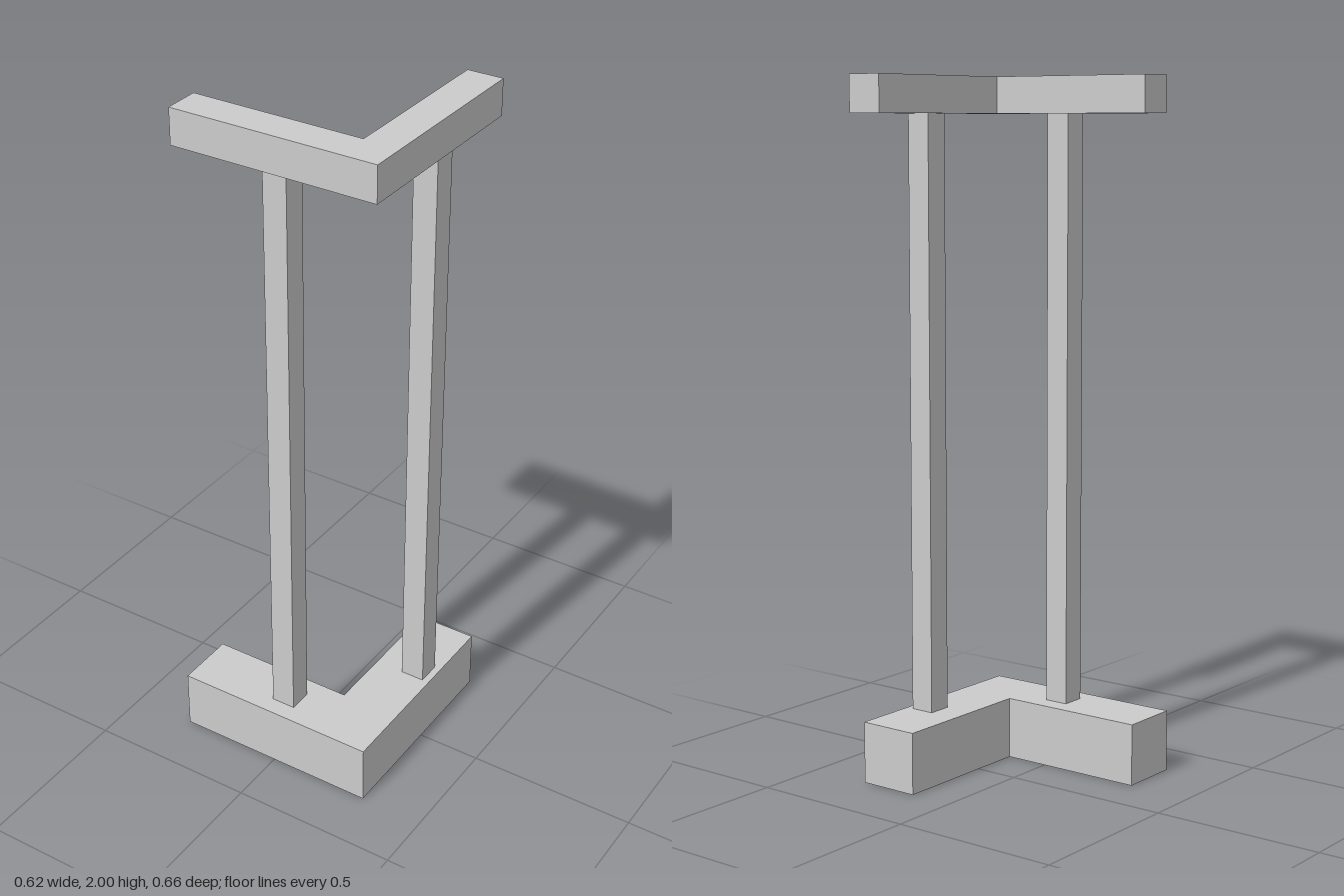
import * as THREE from 'three';

const material = new THREE.MeshStandardMaterial({ color: 0xcccccc, flatShading: true });

// L-shaped slab: one arm along the front, one along the left side
function corner(name, back, front, width, bottom, top) {
  const h = 0.31;
  const outline = [[-h, front], [-h, front - width], [h - width, front - width],
    [h - width, back], [h, back], [h, front]];
  const shape = new THREE.Shape(outline.map(([x, z]) => new THREE.Vector2(x, z)));
  const geometry = new THREE.ExtrudeGeometry(shape, { depth: top - bottom, bevelEnabled: false });
  geometry.rotateX(Math.PI / 2).translate(0, top, 0);
  const mesh = new THREE.Mesh(geometry, material);
  mesh.name = name;
  return mesh;
}

// Square upright between base and top rail
function post(name, x, z) {
  const mesh = new THREE.Mesh(new THREE.BoxGeometry(0.072, 1.716, 0.072), material);
  mesh.position.set(x, 1.037, z);
  mesh.name = name;
  return mesh;
}

export function createModel() {
  const group = new THREE.Group();
  group.name = 'cornerBalustrade';
  group.add(
    corner('base', -0.296, 0.328, 0.18, 0, 0.179),
    corner('topRail', -0.328, 0.29, 0.107, 1.895, 2),
    post('frontPost', 0, 0.24),
    post('sidePost', 0.253, -0.072)
  );
  return group;
}
